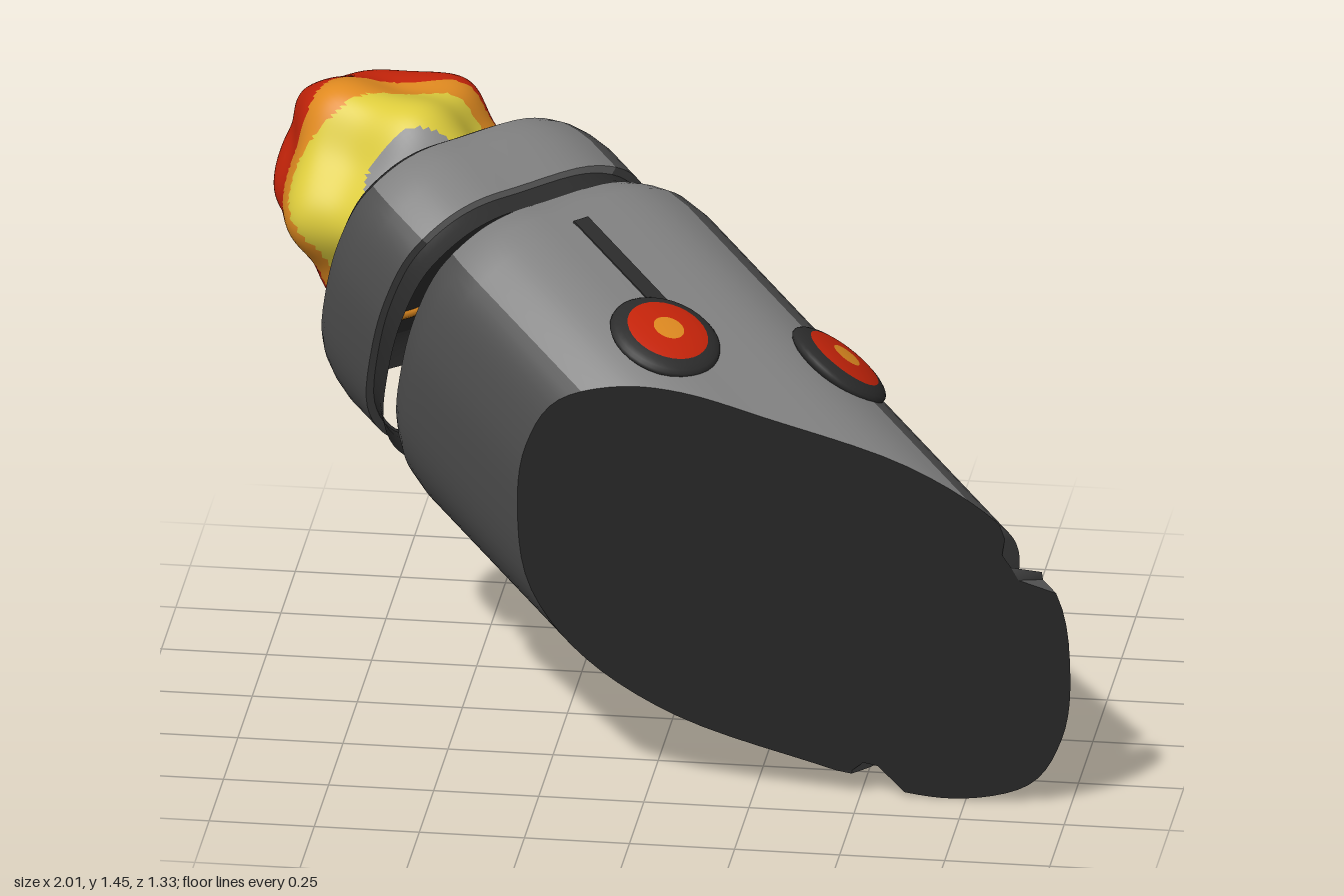
import * as THREE from 'three';
import { mergeVertices, toCreasedNormals } from 'three/addons/utils/BufferGeometryUtils.js';

const mat = (name, color, side = THREE.FrontSide) => {
  const m = new THREE.MeshStandardMaterial({ color, side });
  m.name = name;
  return m;
};

export function createModel() {
  const lightGrey = mat('light grey shell', 0x828282);
  const grey = mat('grey shell', 0x505050);
  const dark = mat('charcoal', 0x2c2c2c, THREE.DoubleSide);
  const red = mat('red', 0xc6240a);
  const orange = mat('orange', 0xe08a20);
  const yellow = mat('yellow', 0xdccb3c);
  const darkRed = mat('dark red', 0x7c0a0a);
  const ash = mat('ash grey', 0x8c8c8c);

  const root = new THREE.Group();
  root.name = 'burningCasing';

  // Tilted frame: local z runs down the casing, x and y span its cross-section
  const axis = new THREE.Vector3(0.693, -0.395, 0.603).normalize();
  const ex = new THREE.Vector3(0, 1, 0).cross(axis).normalize();
  const ey = axis.clone().cross(ex);
  const centre = new THREE.Vector3(0.124, 0.707, 0.32);
  const body = new THREE.Group();
  body.name = 'casing';
  new THREE.Matrix4().makeBasis(ex, ey, axis).decompose(body.position, body.quaternion, body.scale);
  body.position.copy(centre);
  root.add(body);

  // The rear section is slightly wider than tall and sits off centre
  const rearSection = new THREE.Group();
  rearSection.name = 'rearSection';
  rearSection.position.x = -0.025;
  rearSection.scale.x = 1.04;
  body.add(rearSection);

  const add = (name, geometry, material, parent = body) => {
    const mesh = new THREE.Mesh(geometry, material);
    mesh.name = name;
    parent.add(mesh);
    return mesh;
  };

  // Skewed rounded cross-section: half an outline, repeated by a half turn
  const half = [[0.479, -0.19], [0.462, 0], [0.402, 0.22], [0.286, 0.37], [0.12, 0.455],
    [-0.12, 0.472], [-0.265, 0.472], [-0.36, 0.438], [-0.45, 0.346]];
  const outline = [...half, ...half.map(([x, y]) => [-x, -y])];
  const N = outline.length * 5;
  const section = new THREE.CatmullRomCurve3(outline.map(([x, y]) => new THREE.Vector3(x, y, 0)), true)
    .getPoints(N).slice(0, N);

  // Slanted plane that slices the front
  const cut = new THREE.Vector3(0, -0.248, 1);
  const cutAt = (x, y) =>
    (0.38 - cut.dot(centre) - x * cut.dot(ex) - y * cut.dot(ey)) / cut.dot(axis);

  const scaleAt = (prof, z) => {
    for (let j = 1; j < prof.length; j++) {
      const [z0, s0] = prof[j - 1], [z1, s1] = prof[j];
      if (z <= z1) return s0 + (s1 - s0) * Math.max(0, (z - z0) / (z1 - z0));
    }
    return prof[prof.length - 1][1];
  };
  // Point of the skin, stopped at the slice; the front groove leans with y
  const skin = (prof, i, j) => {
    const { x, y } = section[i % N];
    const lean = 0.12 * y;
    let [z, s] = prof[j];
    if (z > 0.5) z += lean;
    if (z > cutAt(x * s, y * s)) {
      let lo = -1.2, hi = z;
      for (let k = 0; k < 32; k++) {
        const m = (lo + hi) / 2, q = scaleAt(prof, m > 0.5 ? m - lean : m);
        if (m > cutAt(x * q, y * q)) hi = m; else lo = m;
      }
      z = lo;
      s = scaleAt(prof, z > 0.5 ? z - lean : z);
    }
    return new THREE.Vector3(x * s, y * s, z);
  };
  const fromTriangles = (tris) => {
    const pts = [];
    for (const [a, b, c] of tris) {
      const area = b.clone().sub(a).cross(c.clone().sub(a)).length();
      if (area > 1e-8) pts.push(a, b, c);
    }
    return toCreasedNormals(new THREE.BufferGeometry().setFromPoints(pts), 0.6);
  };
  const loft = (prof, i0, i1) => {
    const tris = [];
    for (let j = 0; j < prof.length - 1; j++) {
      for (let i = i0; i < i1; i++) {
        const a = skin(prof, i, j), b = skin(prof, i + 1, j);
        const c = skin(prof, i + 1, j + 1), d = skin(prof, i, j + 1);
        tris.push([a, b, c], [a, c, d]);
      }
    }
    return fromTriangles(tris);
  };
  const disc = (prof, j, front) => {
    const ring = section.map((_, i) => skin(prof, i, j));
    const mid = new THREE.Vector3(0, 0, front ? cutAt(0, 0) : prof[j][0]);
    return fromTriangles(ring.map((p, i) => {
      const q = ring[(i + 1) % N];
      return front ? [mid, p, q] : [mid, q, p];
    }));
  };

  // Casing with a groove and collar near the slice; [position, scale] profiles
  const hull = [[-0.67, 0.9], [-0.64, 0.94], [-0.6, 0.98], [-0.53, 1], [0.6, 1], [0.61, 0.9],
    [0.675, 0.89], [0.685, 1.01], [1.2, 1.01]];
  const neck = [[-0.75, 0.85], [-0.71, 0.86], [-0.67, 0.9]];
  const cap = [[-0.96, 0.82], [-0.93, 0.855], [-0.89, 0.88], [-0.84, 0.895], [-0.74, 0.895], [-0.735, 0.84]];
  const rear = [[-1, 0.67], [-0.99, 0.74], [-0.96, 0.82]];
  const P0 = 17, P1 = 38;
  for (const [name, prof, parent] of [['hull', hull, body], ['rearCap', cap, rearSection]]) {
    add(name + 'TopPanel', loft(prof, P0, P1), lightGrey, parent);
    add(name + 'Sides', loft(prof, P1, P0 + N), grey, parent);
  }
  add('neckRing', loft(neck, 0, N), dark, rearSection);
  add('slicedFront', disc(hull, hull.length - 1, true), dark);
  add('rearBevel', loft(rear, 0, N), dark, rearSection);
  add('rearFace', disc(rear, 0, false), dark, rearSection);

  // Flattened lamps set on the skin: orange centre, red lens, charcoal rim
  const bands = [['lampCentre', 0, 0.28, orange], ['lampLens', 0.28, 0.82, red], ['lampRim', 0.82, 2.4, dark]];
  for (const [i, z] of [[27, -0.138], [17, 0.06]]) {
    const along = section[i - 1].clone().sub(section[i + 1]);
    for (const [name, t0, t1, material] of bands) {
      const g = new THREE.SphereGeometry(0.136, 32, 8, 0, Math.PI * 2, t0, t1 - t0);
      g.scale(1, 0.24, 1);
      const lamp = add(name, g, material);
      lamp.position.set(section[i].x, section[i].y, z);
      lamp.rotation.z = Math.atan2(along.y, along.x);
    }
  }

  // Slot running along the top to the first lamp
  const slot = add('topSlot', new THREE.BoxGeometry(0.045, 0.009, 0.36), dark);
  slot.position.set(-0.115, 0.471, -0.37);
  slot.rotation.z = -0.03;

  // Flame: a lumpy turned blob, coloured by heat
  const LENGTH = 0.49;
  const profile = new THREE.SplineCurve([[0.24, 0], [0.26, 0.06], [0.275, 0.18], [0.255, 0.29],
    [0.2, 0.38], [0.1, 0.465], [0, LENGTH]].map(([r, h]) => new THREE.Vector2(r, h))).getPoints(60);
  profile[profile.length - 1].x = 0;
  let flame = new THREE.LatheGeometry(profile, 120);
  flame.rotateX(-Math.PI / 2);
  flame.deleteAttribute('uv');
  flame.deleteAttribute('normal');
  const p = flame.attributes.position;
  for (let i = 0; i < p.count; i++) {
    const x = p.getX(i), y = p.getY(i), z = p.getZ(i), a = Math.atan2(y, x);
    const lump = 1 + 0.07 * Math.sin(5 * a + 9 * z) + 0.05 * Math.sin(3 * a - 22 * z);
    p.setXYZ(i, x * lump, y * lump, z * (1 + 0.08 * Math.sin(3 * a + 1) * Math.hypot(x, y) / 0.3));
  }
  flame = mergeVertices(flame, 1e-4);
  flame.computeVertexNormals();
  const flameColours = [darkRed, red, orange, yellow, ash];
  const buckets = flameColours.map(() => []);
  const pos = flame.attributes.position, idx = flame.index.array;
  for (let t = 0; t < idx.length; t += 3) {
    const m = new THREE.Vector3();
    for (let k = 0; k < 3; k++) m.add(new THREE.Vector3().fromBufferAttribute(pos, idx[t + k]));
    m.divideScalar(3);
    const a = Math.atan2(m.y, m.x);
    const heat = 1 + m.z / LENGTH + 2.4 * Math.hypot(m.x, m.y) * Math.cos(a - 2.25)
      + 0.08 * Math.sin(4 * a + 14 * m.z);
    buckets[[0.28, 0.8, 1, 1.42].filter((limit) => heat > limit).length].push(...idx.slice(t, t + 3));
  }
  flame.setIndex(buckets.flat());
  let start = 0;
  buckets.forEach((b, i) => {
    flame.addGroup(start, b.length, i);
    start += b.length;
  });
  add('flame', flame, flameColours).position.set(-0.03, 0, -1);
  add('flameRim', new THREE.TorusGeometry(0.255, 0.014, 8, 48), orange).position.set(-0.03, 0, -1.005);

  return root;
}
